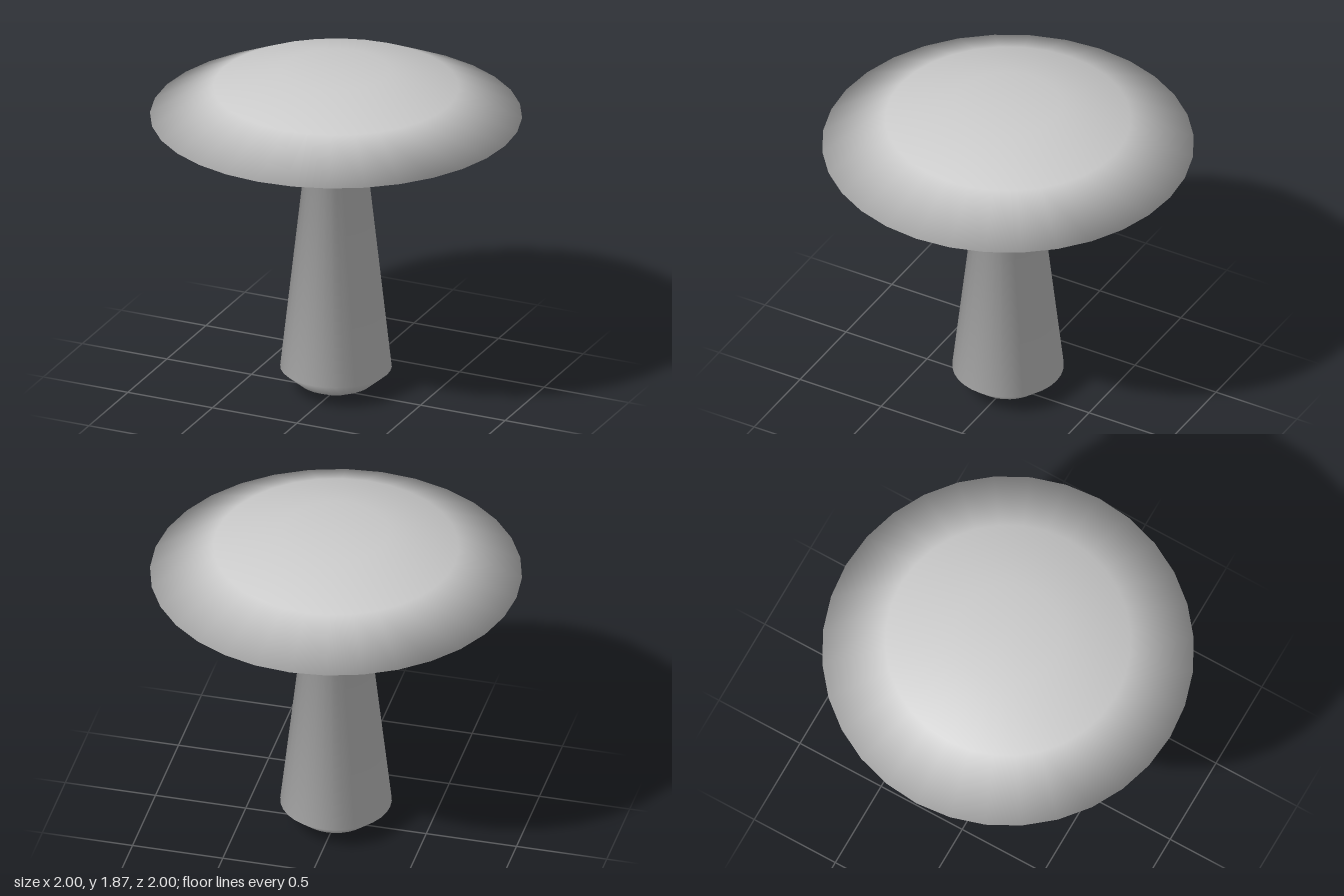
import * as THREE from 'three';

const SEGMENTS = 32;

// Mushroom outline from the bottom centre up to the top centre: [radius, height]
const OUTLINE = [
  [0, 0], [0.08, 0], [0.2, 0.055], [0.3, 0.14], // rounded foot
  [0.15, 1.49], [0.4, 1.595],                   // tapered stalk and flare
  [1, 1.605], [0.66, 1.77], [0.29, 1.87], [0, 1.87], // rim and dome
].map(([r, y]) => new THREE.Vector2(r, y));

// Outward unit normal of each outline edge
const edgeNormals = OUTLINE.slice(1).map((p, i) => {
  const d = p.clone().sub(OUTLINE[i]);
  return new THREE.Vector2(d.y, -d.x).normalize();
});

// Smooth normal at each outline point: the mean of its two edges
const pointNormals = OUTLINE.map((_, i) => {
  const before = edgeNormals[Math.max(i - 1, 0)];
  const after = edgeNormals[Math.min(i, edgeNormals.length - 1)];
  return before.clone().add(after).normalize();
});

// Revolve a stretch of the outline, shading smoothly across the joins
function revolve(name, first, last) {
  const geometry = new THREE.LatheGeometry(OUTLINE.slice(first, last + 1), SEGMENTS);
  const count = last - first + 1;
  const normals = geometry.attributes.normal;
  for (let i = 0; i <= SEGMENTS; i++) {
    const angle = (i / SEGMENTS) * Math.PI * 2;
    for (let j = 0; j < count; j++) {
      const n = pointNormals[first + j];
      normals.setXYZ(i * count + j, n.x * Math.sin(angle), n.y, n.x * Math.cos(angle));
    }
  }
  const material = new THREE.MeshStandardMaterial({ color: 0xcccccc });
  const mesh = new THREE.Mesh(geometry, material);
  mesh.name = name;
  return mesh;
}

export function createModel() {
  const mushroom = new THREE.Group();
  mushroom.name = 'mushroom';
  mushroom.add(
    revolve('foot', 0, 3),
    revolve('stalk', 3, 4),
    revolve('flare', 4, 5),
    revolve('cap', 5, 9), // flat underside, rim and dome
  );
  return mushroom;
}
